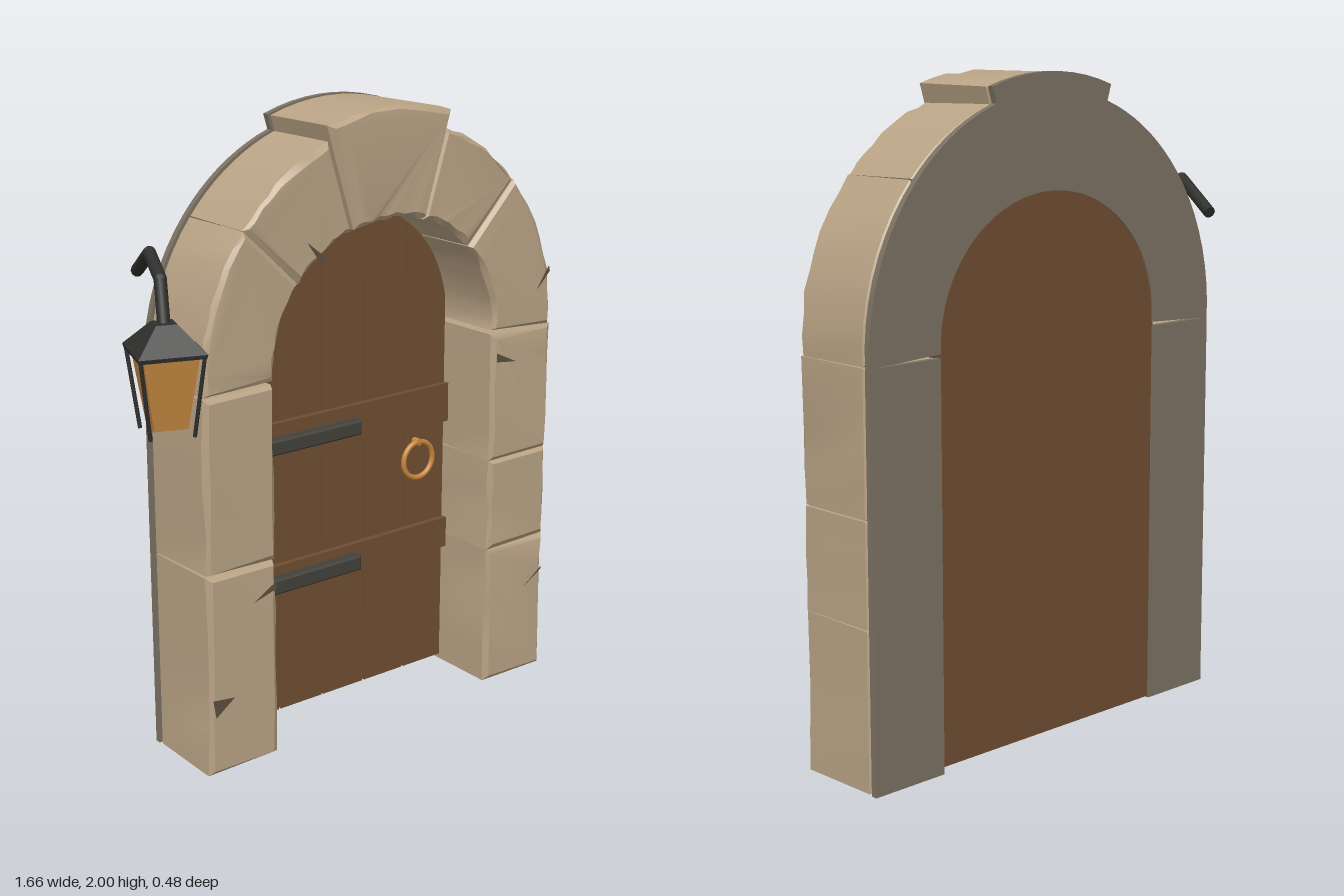
import * as THREE from 'three';
import { toCreasedNormals } from 'three/addons/utils/BufferGeometryUtils.js';

const paint = (name, color) => {
  const m = new THREE.MeshStandardMaterial({ color });
  m.name = name;
  return m;
};

const CX = 0.137, SPRING = 1.25;           // arch centre
const IN_X = 0.435, IN_Y = 0.41;           // opening radii
const OUT_X = 0.69, OUT_Y = 0.70;          // outer radii
const DEG = Math.PI / 180;

export function createModel() {
  const stone = paint('stone', 0xb9a385);
  const backStone = paint('backStone', 0x7c7263);
  const crackDark = paint('crackDark', 0x5b4e3e);
  const wood = paint('wood', 0x6f4e32);
  const gapWood = paint('gapWood', 0x3f2b1b);
  const iron = paint('iron', 0x43413b);
  const lampIron = paint('lampIron', 0x2f2f2d);
  const glass = paint('glass', 0xc28640);
  const brass = paint('brass', 0xc8873e);

  const model = new THREE.Group();
  model.name = 'archedDoorway';
  const add = (name, geo, mat, parent = model) => {
    const mesh = new THREE.Mesh(geo, mat);
    mesh.name = name;
    parent.add(mesh);
    return mesh;
  };
  const box = (name, x0, x1, y0, y1, z0, z1, mat) =>
    add(name, new THREE.BoxGeometry(x1 - x0, y1 - y0, z1 - z0), mat)
      .position.set((x0 + x1) / 2, (y0 + y1) / 2, (z0 + z1) / 2);
  const slab = (pts, z0, z1, bevel = 0, gap = 0) => {
    const geo = new THREE.ExtrudeGeometry(new THREE.Shape(pts), {
      depth: z1 - z0 - 2 * bevel, bevelEnabled: bevel + gap > 0, bevelThickness: bevel,
      bevelSize: bevel, bevelOffset: -bevel - gap, bevelSegments: 1,
    });
    return geo.translate(0, 0, z0 + bevel);
  };

  // Uneven hewn front edges; the shift depends only on position, so seams stay closed
  const hash = (x, y, k) => {
    const s = Math.sin(Math.round(x * 500) * 12.99 + Math.round(y * 500) * 78.23 + k * 37.7) * 4375.85;
    return s - Math.floor(s) - 0.5;
  };
  const hew = (geo) => {
    const p = geo.attributes.position;
    for (let i = 0; i < p.count; i++) {
      const x = p.getX(i), y = p.getY(i), z = p.getZ(i);
      if (z < 0) continue;
      p.setXYZ(i, x + hash(x, y, 1) * 0.01, Math.max(0, y + hash(x, y, 2) * 0.01), z + hash(x, y, 3) * 0.006);
    }
    return toCreasedNormals(geo, 0.5);
  };
  const block = (name, pts, front = 0.07) => {
    add(name, hew(slab(pts, -0.22, front, 0.013, 0.002)), stone);
    add(name + 'Back', toCreasedNormals(slab(pts, -0.24, -0.22), 0.5), backStone);
  };

  // Pillar blocks
  const V = (x, y) => new THREE.Vector2(x, y);
  const pillar = (name, x0, x1, levels) => {
    for (let i = 0; i < levels.length - 1; i++) {
      const a = levels[i], h = levels[i + 1] - a, pts = [];
      for (let k = 0; k <= 4; k++) pts.push(V(x1, a + h * k / 4));
      for (let k = 4; k >= 0; k--) pts.push(V(x0, a + h * k / 4));
      block(name + (i + 1), pts);
    }
  };
  pillar('rightPillarStone', CX - OUT_X, CX - IN_X, [0.015, 0.665, 1.22]);
  pillar('leftPillarStone', CX + IN_X, CX + OUT_X, [0, 0.48, 0.793, 1.22]);

  // Arch blocks and raised keystone
  const at = (deg, rx, ry) => V(CX + rx * Math.cos(deg * DEG), SPRING + ry * Math.sin(deg * DEG));
  const wedge = (name, a0, a1, lift, front) => {
    const pts = [], n = 9;
    for (let k = 0; k <= n; k++) pts.push(at(a0 + (a1 - a0) * k / n, OUT_X + lift, OUT_Y + lift));
    for (let k = n; k >= 0; k--) pts.push(at(a0 + (a1 - a0) * k / n, IN_X, IN_Y));
    block(name, pts, front);
  };
  wedge('leftSpringerStone', -2.5, 42, 0, 0.07);
  wedge('leftArchStone', 42, 71.5, 0, 0.07);
  wedge('keystone', 71.5, 109, 0.05, 0.085);
  wedge('rightArchStone', 109, 141, 0, 0.07);
  wedge('rightSpringerStone', 141, 182.5, 0, 0.07);

  // Chipped cracks on the stone faces: wide end, second wide corner, tip
  [
    [-0.545, 0.27, -0.535, 0.21, -0.465, 0.26], [-0.305, 0.60, -0.305, 0.575, -0.39, 0.55],
    [0.815, 0.365, 0.815, 0.355, 0.73, 0.305], [0.585, 1.16, 0.585, 1.13, 0.67, 1.12],
    [-0.13, 1.56, -0.11, 1.575, -0.18, 1.63], [0.805, 1.42, 0.81, 1.40, 0.75, 1.34],
  ].forEach(([ax, ay, bx, by, cx, cy]) => {
    const geo = new THREE.ShapeGeometry(new THREE.Shape([V(ax, ay), V(bx, by), V(cx, cy)]));
    add('crack', geo.translate(0, 0, 0.0745), crackDark);
  });

  // Door: back panel, dark core seen in the gaps, five front boards
  const doorTop = (x) => SPRING + (IN_Y + 0.004) * Math.sqrt(Math.max(0, 1 - ((x - CX) / (IN_X + 0.004)) ** 2));
  const strip = (x0, x1, n) => {
    const pts = [V(x0, 0.02), V(x1, 0.02)];
    for (let k = 0; k <= n; k++) {
      const x = x1 + (x0 - x1) * (1 - Math.cos(Math.PI * k / n)) / 2;
      pts.push(V(x, doorTop(x)));
    }
    return pts;
  };
  const D0 = CX - IN_X - 0.003, D1 = CX + IN_X + 0.003;
  add('doorBack', slab(strip(D0, D1, 32), -0.236, -0.2), wood);
  add('doorCore', slab(strip(D0, D1, 32), -0.2, -0.178), gapWood);
  const seams = [D0, -0.12, 0.055, 0.23, 0.402, D1];
  for (let i = 0; i < 5; i++) {
    add('doorBoard' + (i + 1), slab(strip(seams[i] + 0.004, seams[i + 1] - 0.004, 12), -0.178, -0.165), wood);
  }

  // Cross rails and iron hinge straps
  [[0.43, 0.535, 0.456, 0.508], [0.88, 1.012, 0.922, 0.972]].forEach(([r0, r1, s0, s1]) => {
    box('doorRail', D0, D1, r0, r1, -0.17, -0.145, wood);
    const strap = slab([V(D0, s0), V(0.175, s0), V(0.175, s1), V(D0, s1)], -0.146, -0.105, 0.006);
    add('hingeStrap', strap, iron);
  });

  // Ring handle
  add('handleRing', new THREE.TorusGeometry(0.062, 0.009, 10, 32), brass).position.set(0.445, 0.77, -0.145);
  const pin = add('handlePin', new THREE.CylinderGeometry(0.012, 0.012, 0.035, 10), brass);
  pin.rotation.x = Math.PI / 2;
  pin.position.set(0.445, 0.832, -0.155);

  // Lantern, turned to line up with its arm
  const lantern = new THREE.Group();
  lantern.name = 'lantern';
  lantern.position.set(-0.708, 0, 0.117);
  lantern.rotation.y = -19.4 * DEG;
  model.add(lantern);
  const frustum = (name, top, bottom, y0, y1, mat) => {
    const geo = new THREE.CylinderGeometry(top * Math.SQRT1_2, bottom * Math.SQRT1_2, y1 - y0, 4, 1);
    geo.rotateY(Math.PI / 4).translate(0, (y0 + y1) / 2, 0);
    add(name, toCreasedNormals(geo, 0.3), mat, lantern);
  };
  frustum('lanternRoof', 0.06, 0.196, 1.412, 1.487, lampIron);
  frustum('lanternRim', 0.196, 0.19, 1.4, 1.412, lampIron);
  frustum('lanternGlass', 0.158, 0.098, 1.19, 1.4, glass);

  // Straight rod between two points
  const rod = (name, a, b, r, sides, parent) => {
    const dir = b.clone().sub(a);
    const mesh = add(name, new THREE.CylinderGeometry(r, r, dir.length(), sides), lampIron, parent);
    mesh.position.copy(a).add(b).multiplyScalar(0.5);
    mesh.quaternion.setFromUnitVectors(new THREE.Vector3(0, 1, 0), dir.normalize());
  };
  const P = (x, y, z) => new THREE.Vector3(x, y, z);
  for (const sx of [-1, 1]) for (const sz of [-1, 1]) {
    rod('lanternBar', P(sx * 0.09, 1.405, sz * 0.09), P(sx * 0.063, 1.17, sz * 0.063), 0.006, 6, lantern);
  }

  // Bent arm reaching back to the wall
  const arm = [P(-0.705, 1.47, 0.112), P(-0.69, 1.6, 0.076), P(-0.645, 1.645, -0.045), P(-0.575, 1.55, -0.225)];
  arm.slice(1).forEach((b, i) => {
    rod('lanternArm', arm[i], b, 0.019, 10, model);
    if (i < 2) add('armJoint', new THREE.SphereGeometry(0.019, 10, 8), lampIron).position.copy(b);
  });

  return model;
}
